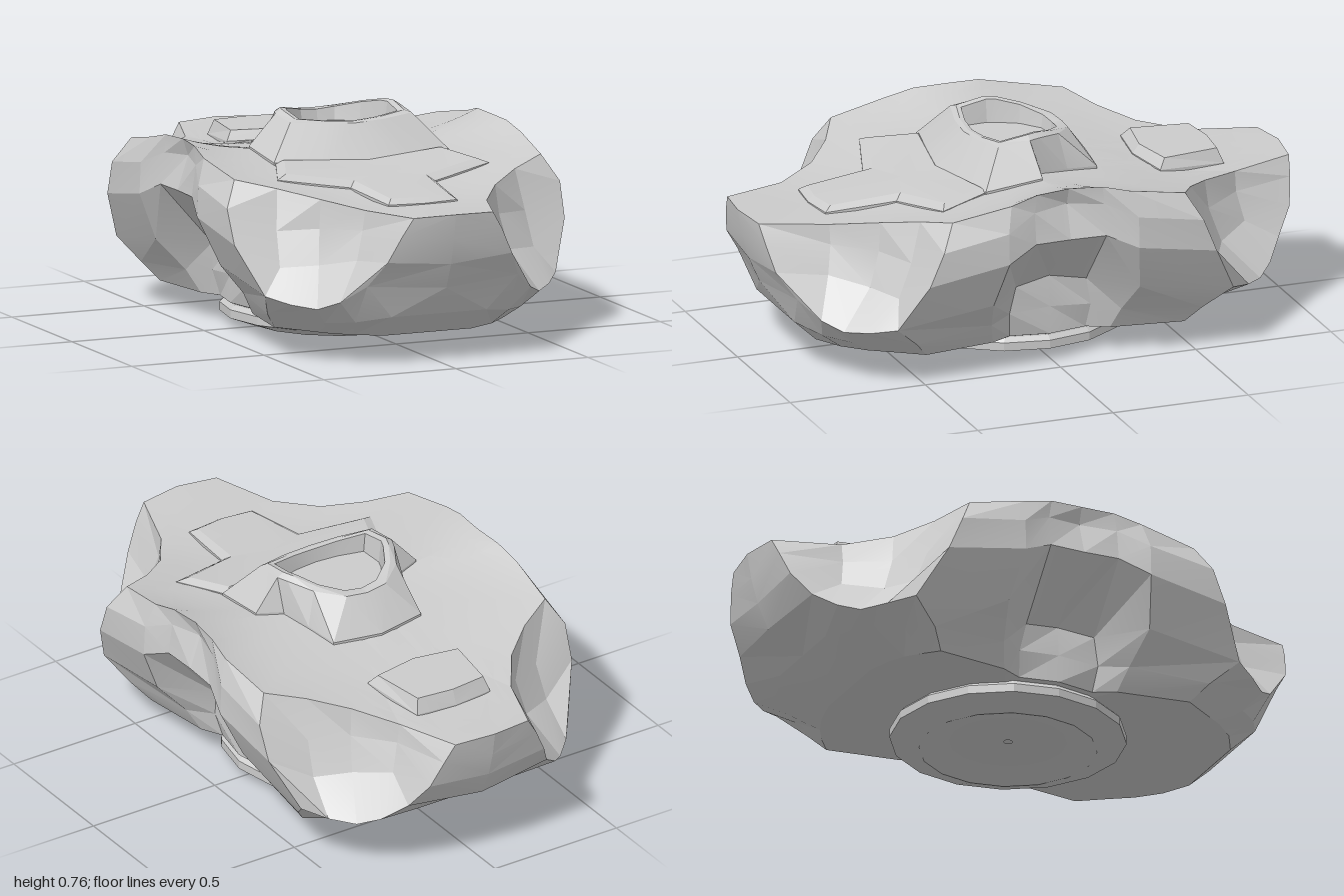
import * as THREE from 'three';
import { toCreasedNormals } from 'three/addons/utils/BufferGeometryUtils.js';

const material = new THREE.MeshStandardMaterial({ color: 0xcccccc });

function addMesh(group, name, geometry) {
  const mesh = new THREE.Mesh(toCreasedNormals(geometry, 0.2), material);
  mesh.name = name;
  group.add(mesh);
  return mesh;
}

// Half an outline, from front centre to back centre, closed by its mirror image
function mirrorLoop(half) {
  const left = half.slice(1, -1).reverse().map(([x, y, z]) => [-x, y, z]);
  return [...half, ...left];
}

// Skin between half outlines, listed from the bottom up; diagonals are mirrored too
function loft(halves) {
  const rows = halves.map(mirrorLoop);
  const n = rows[0].length;
  const index = [];
  for (let j = 0; j < rows.length - 1; j++) {
    for (let i = 0; i < n; i++) {
      const k = (i + 1) % n;
      const a = j * n + i, b = j * n + k, c = a + n, d = b + n;
      if (i < n / 2) index.push(a, b, c, b, d, c);
      else index.push(a, b, d, a, d, c);
    }
  }
  const geometry = new THREE.BufferGeometry();
  geometry.setAttribute('position', new THREE.Float32BufferAttribute(rows.flat(2), 3));
  geometry.setIndex(index);
  return geometry;
}

// Height of the dished deck
const deckProfile = [[0, 0.615], [0.3, 0.582], [0.45, 0.553], [0.6, 0.533], [0.75, 0.53], [1.1, 0.542]];
function deckY(x, z) {
  const d = Math.abs(z);
  let i = 0;
  while (i < deckProfile.length - 2 && d > deckProfile[i + 1][0]) i++;
  const [z0, y0] = deckProfile[i], [z1, y1] = deckProfile[i + 1];
  return y0 + ((y1 - y0) * (d - z0)) / (z1 - z0) + 0.3 * Math.abs(x) ** 3;
}

// Hull sections of one quarter, nose to waist, each from rim to lower shoulder
const sections = [
  // nose centre and nose edge
  [[0, 0.54, 1], [0, 0.45, 0.985], [0, 0.36, 0.96], [0, 0.27, 0.92], [0, 0.17, 0.86]],
  [[0.15, 0.535, 0.98], [0.19, 0.47, 0.97], [0.235, 0.38, 0.95], [0.285, 0.29, 0.89], [0.18, 0.17, 0.86]],
  // hollow corner
  [[0.23, 0.53, 0.75], [0.24, 0.46, 0.75], [0.27, 0.36, 0.77], [0.36, 0.23, 0.83], [0.29, 0.15, 0.8]],
  [[0.33, 0.55, 0.6], [0.34, 0.45, 0.61], [0.36, 0.33, 0.65], [0.42, 0.2, 0.77], [0.37, 0.14, 0.72]],
  [[0.45, 0.58, 0.5], [0.47, 0.44, 0.54], [0.48, 0.32, 0.59], [0.49, 0.21, 0.7], [0.43, 0.15, 0.63]],
  [[0.58, 0.61, 0.43], [0.63, 0.52, 0.48], [0.625, 0.4, 0.53], [0.55, 0.23, 0.62], [0.5, 0.15, 0.53]],
  // waist with its channel
  [[0.6, 0.65, 0.22], [0.63, 0.56, 0.24], [0.635, 0.45, 0.24], [0.56, 0.28, 0.27], [0.46, 0.17, 0.24]],
  [[0.59, 0.675, 0.12], [0.59, 0.61, 0.13], [0.605, 0.5, 0.13], [0.41, 0.28, 0.13], [0.4, 0.18, 0.15]],
  [[0.58, 0.68, 0], [0.56, 0.62, 0], [0.6, 0.5, 0], [0.39, 0.3, 0], [0.4, 0.19, 0]],
];

function hullGeometry() {
  // each section ends on the belly, never inside the foot
  const front = sections.map((section) => {
    const [x, , z] = section[4];
    const f = Math.max(0.9, 0.4 / Math.hypot(x, z));
    return [...section, [x * f, 0.09, z * f]];
  });
  // the rear underside sweeps up more than the front
  const rear = front.slice(0, -1).reverse().map((section) => section.map(([x, y, z], j) => {
    const sweep = j > 3 ? Math.max(0, z - 0.5) : 0;
    return [x, y + sweep * 0.07, -z + sweep * (j === 5 ? 0.6 : 0.2)];
  }));
  const all = [...front, ...rear];
  const ring = (j) => all.map((section) => section[j]);
  const rows = [];
  // belly
  for (const [r, y] of [[0.01, 0.07], [0.36, 0.075]]) {
    rows.push(ring(5).map(([x, , z]) => {
      const f = r / Math.hypot(x, z);
      return [x * f, y, z * f];
    }));
  }
  // sides
  for (let j = 5; j >= 0; j--) rows.push(ring(j));
  // deck
  for (const s of [0.9, 0.78, 0.66, 0.54, 0.42, 0.3, 0.15, 0.01]) {
    rows.push(ring(0).map(([x, y, z]) => [
      x * s, deckY(x * s, z * s) + (y - deckY(x, z)) * s ** 4, z * s,
    ]));
  }
  return loft(rows);
}

// Bevelled plate lying on the deck
function plateGeometry(outer, inner, centreZ, top) {
  return loft([
    outer.map(([x, z]) => [x, deckY(x, z) - 0.02, z]),
    outer.map(([x, z]) => [x, deckY(x, z) + 0.005, z]),
    inner.map(([x, z]) => [x, top(x, z), z]),
    inner.map(([x, z]) => [x * 0.001, top(0, centreZ), centreZ + (z - centreZ) * 0.001]),
  ]);
}

// Raised collar with a sunken hatch and a wedge behind it
function turretGeometry() {
  const base = [[0, 0.28], [0.17, 0.255], [0.33, 0.21], [0.33, 0], [0.235, -0.03],
    [0.205, -0.14], [0.18, -0.26], [0, -0.29]];
  const top = [[0, 0.718, 0.165], [0.11, 0.722, 0.155], [0.23, 0.73, 0.125], [0.235, 0.742, 0.01],
    [0.22, 0.742, -0.03], [0.17, 0.73, -0.12], [0.08, 0.715, -0.19], [0, 0.71, -0.2]];
  const inset = (f, y) => top.map((p) => [p[0] * f, y(p[1]), p[2] * f]);
  return loft([
    base.map(([x, z]) => [x, deckY(x, z) - 0.03, z]),
    base.map(([x, z]) => [x, deckY(x, z) + 0.008, z]),
    top,
    inset(0.9, (y) => y + (y - 0.71) * 0.45),
    inset(0.81, (y) => y + (y - 0.71) * 0.3),
    inset(0.77, () => 0.67),
    inset(0.001, () => 0.67),
  ]);
}

export function createModel() {
  const model = new THREE.Group();
  model.name = 'hoverHull';

  addMesh(model, 'hull', hullGeometry());
  addMesh(model, 'turretCollar', turretGeometry());

  // front armour plate
  addMesh(model, 'frontPlate', plateGeometry(
    [[0, 0.74], [0.13, 0.725], [0.16, 0.475], [0.4, 0.395], [0.32, 0.2], [0, 0.25]],
    [[0, 0.715], [0.11, 0.7], [0.135, 0.45], [0.36, 0.375], [0.295, 0.22], [0, 0.27]],
    0.4, (x, z) => deckY(x, z) + 0.022));

  // rear vent, level on the sloping deck
  addMesh(model, 'rearVent', plateGeometry(
    [[0, -0.46], [0.19, -0.49], [0.15, -0.74], [0, -0.755]],
    [[0, -0.485], [0.165, -0.515], [0.135, -0.72], [0, -0.735]],
    -0.6, () => 0.588));

  // stepped round foot with a hollow underside
  const profile = [[0.015, 0.03], [0.1, 0.015], [0.2, 0.03], [0.3, 0], [0.4, 0.035], [0.4, 0.065], [0.385, 0.08], [0.38, 0.1]]
    .map(([r, y]) => new THREE.Vector2(r, y));
  const foot = addMesh(model, 'foot', new THREE.LatheGeometry(profile, 16));
  foot.scale.z = 1.03;

  return model;
}
